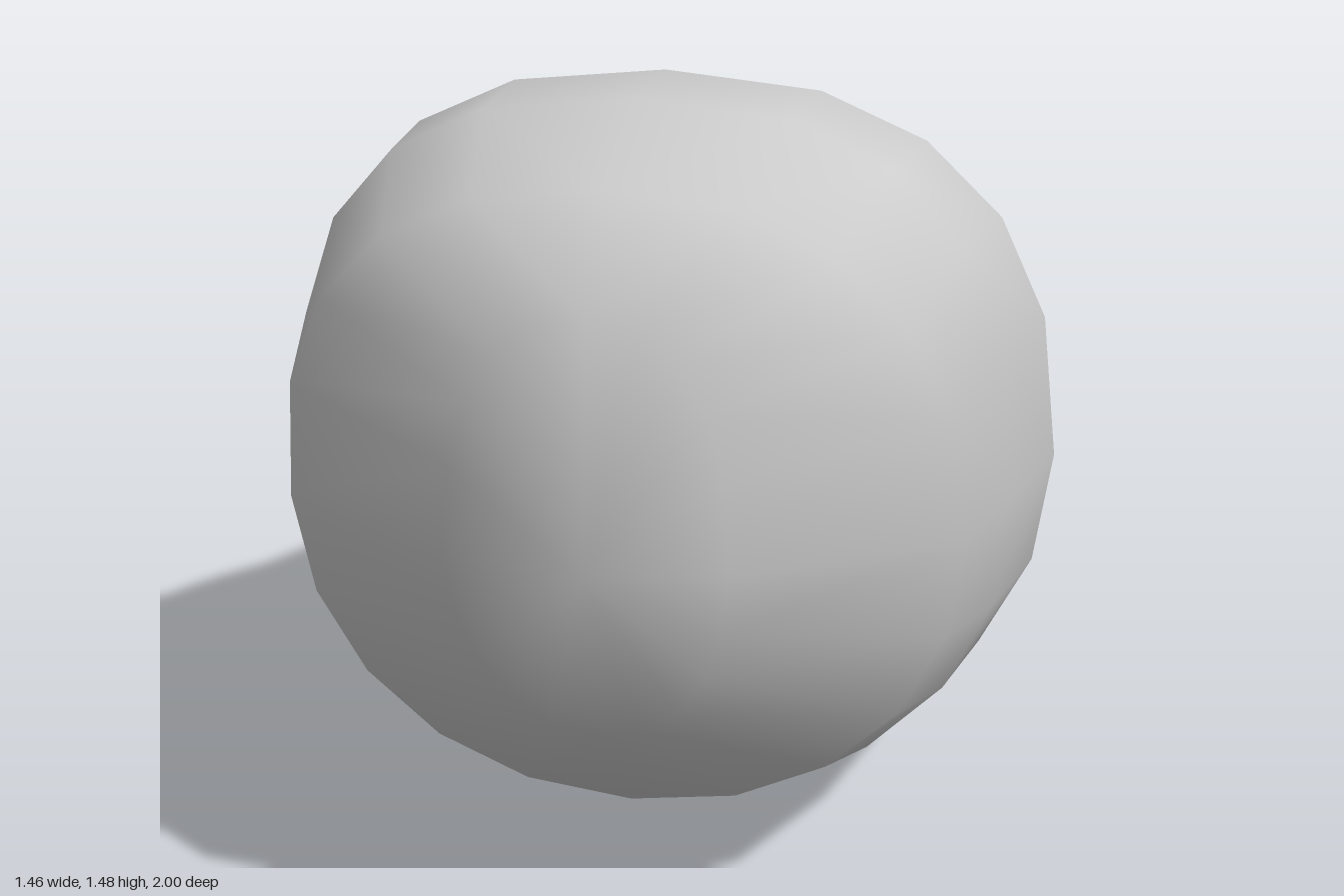
import * as THREE from 'three';

const SEGMENTS = 20;

// Cross-sections from front to back:
// top [z, y], widest point [z, x, y], bottom [z, y], roundness of upper and lower half
const SECTIONS = [
  { top: [0.94, 1.2], side: [0.98, 0.24, 0.79], bottom: [0.89, 0.44], upper: 2.4, lower: 2.1 },
  { top: [0.81, 1.38], side: [0.71, 0.6, 0.77], bottom: [0.63, 0.18], upper: 2.4, lower: 2.1 },
  { top: [0.55, 1.48], side: [0.4, 0.67, 0.74], bottom: [0.31, 0.045], upper: 2.6, lower: 2.1 },
  { top: [0.28, 1.48], side: [0.1, 0.73, 0.72], bottom: [0, 0], upper: 2.5, lower: 2.1 },
  { top: [0, 1.4], side: [-0.11, 0.68, 0.71], bottom: [-0.14, 0.015], upper: 2.25, lower: 2.1 },
  { top: [-0.18, 1.32], side: [-0.25, 0.64, 0.7], bottom: [-0.27, 0.03], upper: 2.1, lower: 2.1 },
  { top: [-0.34, 1.18], side: [-0.39, 0.605, 0.69], bottom: [-0.38, 0.075], upper: 2.1, lower: 2.1 },
  { top: [-0.59, 1.08], side: [-0.53, 0.57, 0.67], bottom: [-0.48, 0.12], upper: 1.95, lower: 2.1 },
  { top: [-0.78, 1.02], side: [-0.86, 0.17, 0.84], bottom: [-1, 0.6], upper: 1.85, lower: 1.85 },
];

// One point of a tilted, superelliptic cross-section
function sectionPoint(section, angle) {
  const c = Math.cos(angle);
  const s = Math.sin(angle);
  const [end, power] = s >= 0 ? [section.top, section.upper] : [section.bottom, section.lower];
  const [z, width, y] = section.side;
  const t = Math.abs(s) ** (2 / power);
  return [
    width * Math.sign(c) * Math.abs(c) ** (2 / power),
    y + (end[1] - y) * t,
    z + (end[0] - z) * t,
  ];
}

function shellGeometry() {
  const positions = [];
  const indices = [];
  for (const section of SECTIONS) {
    for (let j = 0; j < SEGMENTS; j++) {
      positions.push(...sectionPoint(section, (j / SEGMENTS) * Math.PI * 2));
    }
  }
  // Skin between neighbouring sections; the last one stays open
  for (let i = 0; i < SECTIONS.length - 1; i++) {
    for (let j = 0; j < SEGMENTS; j++) {
      const a = i * SEGMENTS + j;
      const b = i * SEGMENTS + ((j + 1) % SEGMENTS);
      // Mirror the quad diagonals so that left and right match
      if (Math.floor(j / (SEGMENTS / 4)) % 2 === 0) {
        indices.push(a, a + SEGMENTS, b, b, a + SEGMENTS, b + SEGMENTS);
      } else {
        indices.push(a, a + SEGMENTS, b + SEGMENTS, a, b + SEGMENTS, b);
      }
    }
  }
  // Rounded front end
  const centre = positions.length / 3;
  positions.push(0, 0.78, 1);
  for (let j = 0; j < SEGMENTS; j++) indices.push(centre, j, (j + 1) % SEGMENTS);

  const geometry = new THREE.BufferGeometry();
  geometry.setAttribute('position', new THREE.Float32BufferAttribute(positions, 3));
  geometry.setIndex(indices);
  geometry.computeVertexNormals();
  return geometry;
}

export function createModel() {
  const group = new THREE.Group();
  group.name = 'hollowBody';
  // Thin hollow shell with an opening at the upper back
  const shell = new THREE.Mesh(
    shellGeometry(),
    new THREE.MeshStandardMaterial({ color: 0xcccccc, side: THREE.DoubleSide }),
  );
  shell.name = 'shell';
  group.add(shell);
  return group;
}
